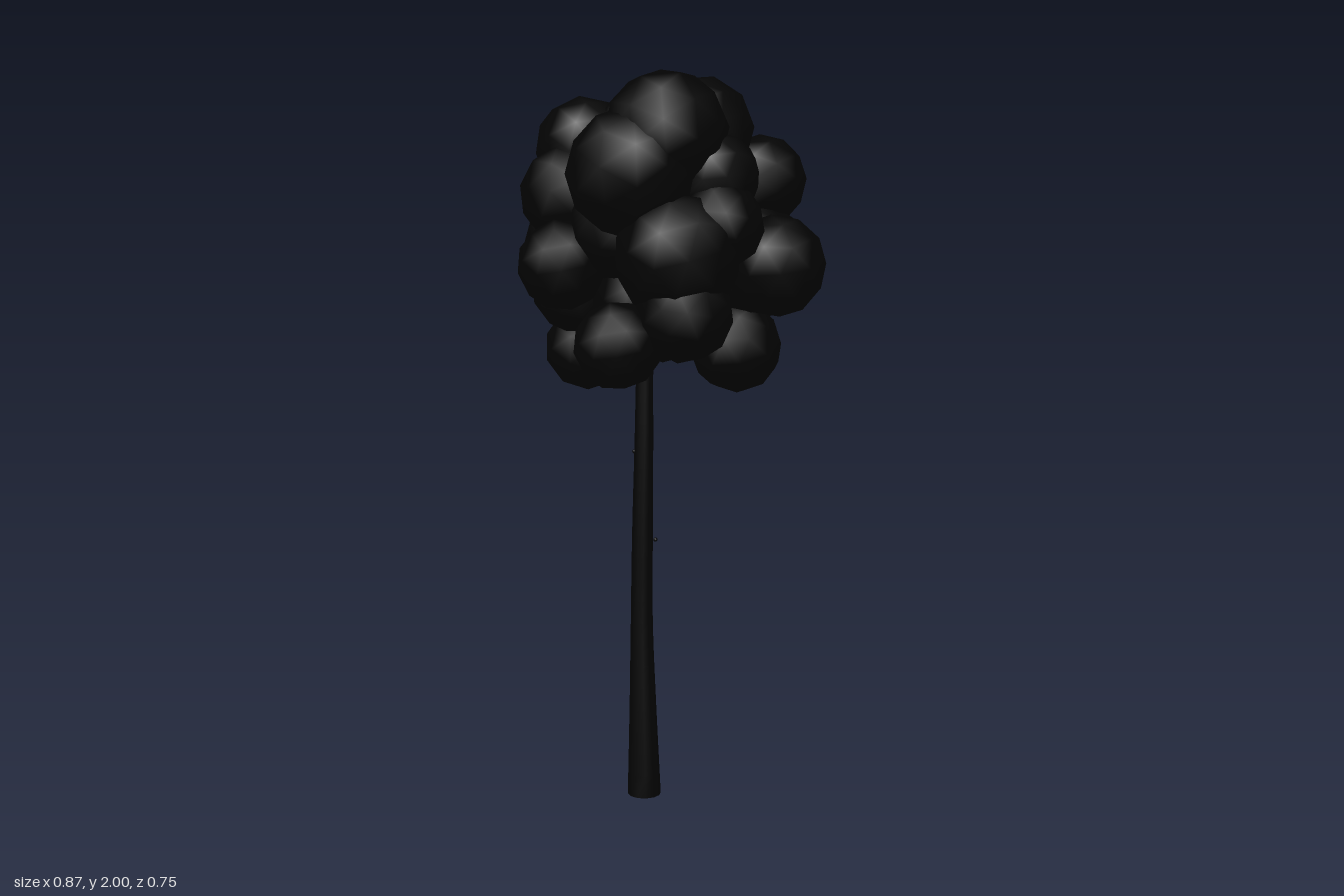
import * as THREE from 'three';

const bark = new THREE.MeshStandardMaterial({ color: 0x030303 });
const leaf = new THREE.MeshStandardMaterial({ color: 0x030303 });

// Leaf clumps: x, y, z, radius
const CLUMPS = [
  // lower skirt
  [-0.23, 1.26, 0.08, 0.12], [0.16, 1.28, -0.14, 0.125], [0.17, 1.305, 0.25, 0.115],
  [0.28, 1.385, 0.12, 0.125], [0, 1.4, -0.25, 0.125], [0.03, 1.4, 0.06, 0.15],
  [-0.02, 1.35, -0.03, 0.122], [-0.13, 1.41, -0.1, 0.125], [-0.2, 1.43, 0.13, 0.13],
  // middle
  [0.298, 1.5, -0.16, 0.135], [-0.315, 1.46, -0.02, 0.118], [-0.25, 1.55, 0.1, 0.147],
  [-0.08, 1.5, 0.255, 0.122], [0.17, 1.52, -0.17, 0.16], [-0.16, 1.52, -0.195, 0.145],
  [-0.04, 1.62, -0.2, 0.135], [0.25, 1.53, 0.12, 0.165], [0.05, 1.55, 0, 0.2],
  [-0.21, 1.68, 0.14, 0.145], [0.03, 1.6, 0.13, 0.15], [0.295, 1.61, 0.02, 0.115],
  // crown
  [0.15, 1.74, 0.19, 0.172], [-0.04, 1.765, -0.235, 0.11], [0, 1.76, 0.05, 0.175],
  [0.25, 1.73, 0, 0.115], [0.175, 1.72, -0.21, 0.122], [0.13, 1.85, -0.04, 0.142],
  [0.185, 1.84, 0.11, 0.162], [-0.14, 1.83, -0.04, 0.14], [-0.235, 1.81, 0.08, 0.14],
];

// Slightly bent trunk running up into the crown: x, y, z, radius
const TRUNK = [
  [-0.036, 0, 0.025, 0.047], [-0.042, 0.25, 0.025, 0.038], [-0.047, 0.5, 0.025, 0.031],
  [-0.046, 0.75, 0.023, 0.029], [-0.04, 1, 0.022, 0.026], [-0.034, 1.25, 0.022, 0.023],
  [-0.015, 1.6, 0.02, 0.02], [0.01, 1.93, 0.02, 0.016],
];

function buildTrunk() {
  const path = new THREE.CatmullRomCurve3(TRUNK.map(([x, y, z]) => new THREE.Vector3(x, y, z)));
  const radii = new THREE.CatmullRomCurve3(TRUNK.map(([, , , r], i) => new THREE.Vector3(r, i, 0)));
  const geo = new THREE.CylinderGeometry(1, 1, 1, 12, 28);
  const pos = geo.attributes.position;
  for (let i = 0; i < pos.count; i++) {
    const t = pos.getY(i) + 0.5;
    const c = path.getPoint(t), r = radii.getPoint(t).x;
    pos.setXYZ(i, c.x + pos.getX(i) * r, c.y, c.z + pos.getZ(i) * r);
  }
  geo.computeVertexNormals();
  const trunk = new THREE.Mesh(geo, bark);
  trunk.name = 'trunk';
  return trunk;
}

export function createModel() {
  const tree = new THREE.Group();
  tree.name = 'tree';
  tree.add(buildTrunk());

  // Small knots on the trunk: height, x offset, z offset
  const knots = new THREE.Group();
  knots.name = 'knots';
  for (const [y, dx, dz] of [[0.25, -0.035, 0], [0.49, -0.03, 0], [0.735, -0.028, 0.005],
    [0.735, 0.026, -0.026], [0.98, -0.024, 0.01]]) {
    const knot = new THREE.Mesh(new THREE.SphereGeometry(0.006, 8, 6), bark);
    knot.position.set(-0.045 + dx, y, 0.024 + dz);
    knot.name = 'knot';
    knots.add(knot);
  }
  tree.add(knots);

  // Rounded foliage clumps, each turned differently
  const foliage = new THREE.Group();
  foliage.name = 'foliage';
  CLUMPS.forEach(([x, y, z, r], i) => {
    const clump = new THREE.Mesh(new THREE.IcosahedronGeometry(r, 1), leaf);
    clump.position.set(x, y, z);
    clump.rotation.set(i * 1.3, i * 2.1, i * 0.7);
    clump.name = 'leafClump';
    foliage.add(clump);
  });
  tree.add(foliage);

  return tree;
}
